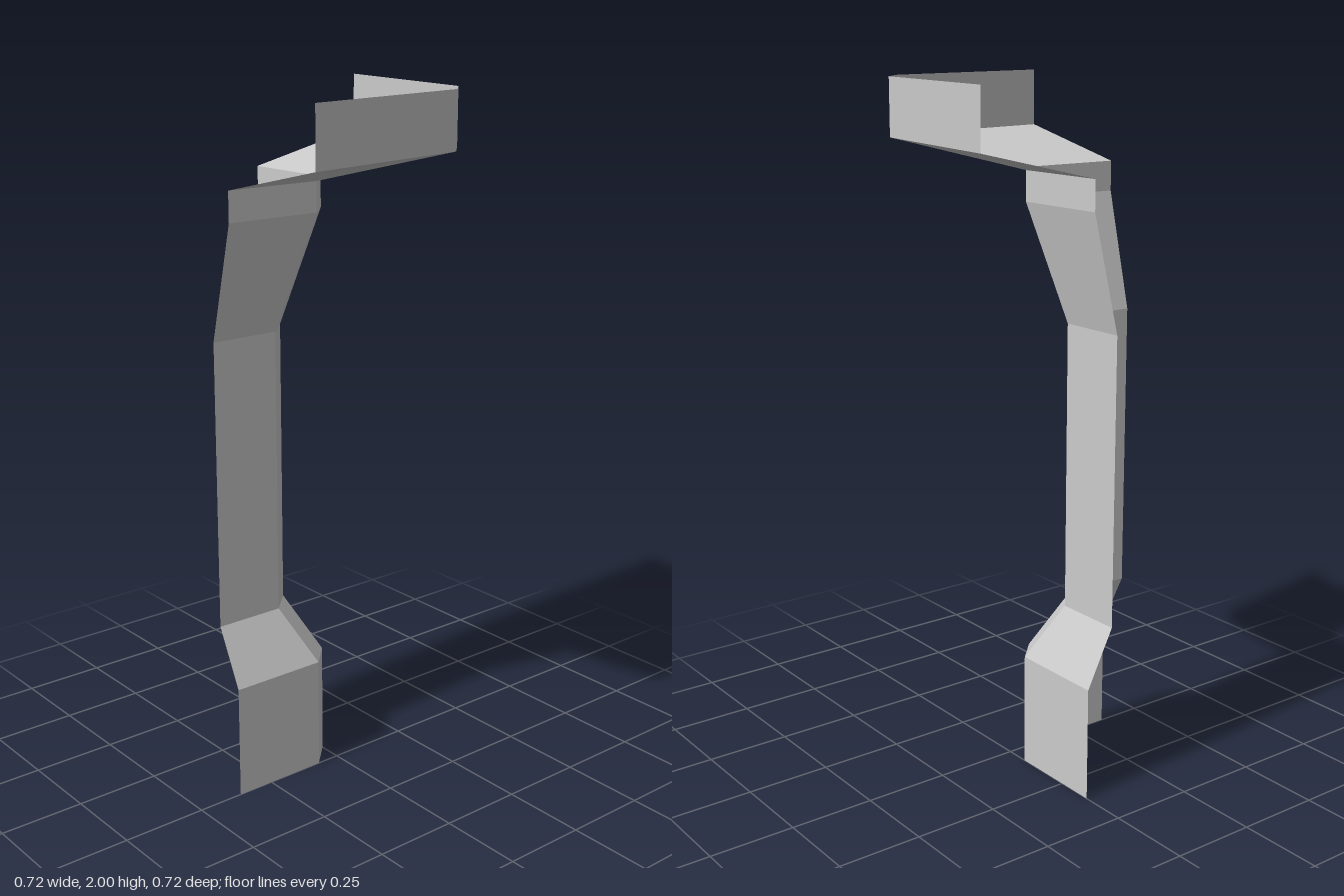
import * as THREE from 'three';

const END = 0.362; // reach of both wings
const CHAMFER = 0.07; // size of the cut corner

// Plan line of the pillar wall: two wings joined by a chamfer, moved in or out by d
const wall = (y, d) => [
  [-END, y, d], [d - CHAMFER, y, d], [d, y, d - CHAMFER], [d, y, -END],
];
// Plan line of the flared cornice
const rim = (y) => [
  [-END, y, END], [0.191, y, 0.266], [0.266, y, 0.191], [END, y, -END],
];

// Open sheet joining two plan lines, with flat faces
function band(name, low, high, material) {
  const pos = [];
  for (let i = 0; i < low.length - 1; i++) {
    const a = low[i], b = low[i + 1], c = high[i + 1], d = high[i];
    pos.push(...a, ...b, ...c, ...a, ...c, ...d);
  }
  const geo = new THREE.BufferGeometry();
  geo.setAttribute('position', new THREE.Float32BufferAttribute(pos, 3));
  geo.computeVertexNormals();
  const mesh = new THREE.Mesh(geo, material);
  mesh.name = name;
  return mesh;
}

export function createModel() {
  const group = new THREE.Group();
  group.name = 'cornerPillar';
  const material = new THREE.MeshStandardMaterial({
    color: 0xcccccc, flatShading: true, side: THREE.DoubleSide,
  });

  // Plan lines from the floor up, each naming the band that starts there
  const IN = -0.083;
  const levels = [
    ['base', wall(0, 0)],
    ['baseSlope', wall(0.335, 0)],
    ['shaft', wall(0.503, IN)],
    ['capitalSlope', wall(1.337, IN)],
    ['neck', wall(1.67, 0)],
    ['corniceUnderside', wall(1.755, 0)],
    ['corniceBand', rim(1.838)],
    ['top', rim(2)],
  ];
  for (let i = 0; i < levels.length - 1; i++) {
    group.add(band(levels[i][0], levels[i][1], levels[i + 1][1], material));
  }
  return group;
}
